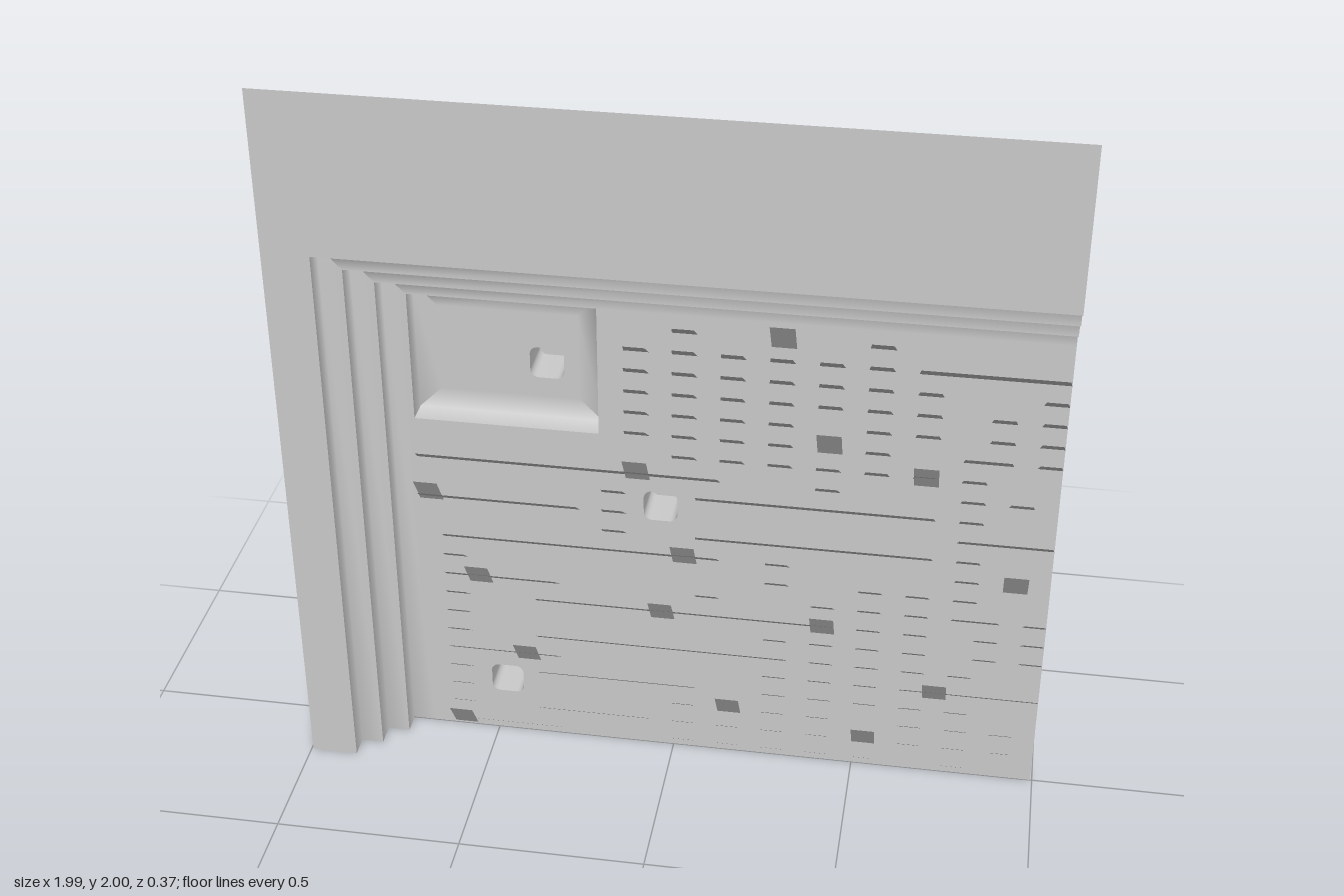
import * as THREE from 'three';
import { mergeGeometries } from 'three/addons/utils/BufferGeometryUtils.js';

const R = 0.995;                                   // right-hand edge
const grey = new THREE.MeshStandardMaterial({ color: 0xcccccc, side: THREE.DoubleSide });
grey.name = 'light grey';

function add(group, name, geometry) {
  const m = new THREE.Mesh(geometry, grey);
  m.name = name;
  group.add(m);
  return m;
}

function surface(points, index) {
  const g = new THREE.BufferGeometry();
  g.setAttribute('position', new THREE.Float32BufferAttribute(points.flat(), 3));
  g.setIndex(index);
  g.computeVertexNormals();
  return g;
}

// Wall running back plus a ledge running inward, softly shaded at the inside corner
function step(p, q, inP, inQ, zFront, zBack) {
  return surface([
    [...p, zFront], [...q, zFront], [...p, zBack], [...q, zBack], [...inP, zBack], [...inQ, zBack],
  ], [0, 2, 1, 1, 2, 3, 2, 4, 3, 3, 4, 5]);
}

function polygon(pts) {
  return new THREE.Shape(pts.map(([x, y]) => new THREE.Vector2(x, y)));
}

// Rounded square outline of the sockets
function socketOutline(cx, cy) {
  const h = 0.045, r = 0.022, k = h - r, s = new THREE.Path();
  s.absarc(cx + k, cy + k, r, 0, Math.PI / 2);
  s.absarc(cx - k, cy + k, r, Math.PI / 2, Math.PI);
  s.absarc(cx - k, cy - k, r, Math.PI, Math.PI * 1.5);
  s.absarc(cx + k, cy - k, r, Math.PI * 1.5, Math.PI * 2);
  s.closePath();
  return s.getPoints(3);
}

function flat(shape, z) {
  return new THREE.ShapeGeometry(shape).translate(0, 0, z);
}

// Slanted plate: foot on the panel, top edge leaning forward
function louvre(x0, x1, y0, y1, depth, taper) {
  return surface([
    [x0, y0, 0], [x1, y0, 0], [x1 - taper, y1, depth], [x0 + taper, y1, depth],
  ], [0, 1, 2, 0, 2, 3]);
}

// Louvre runs per row from the bottom up: "column" or "first-last"
const ROWS = [
  '1-5 11 13 15 17 19 23', '1 5-9 11 13 15 17 21 23 25', '1 11 15 17 21 23 25',
  '1 5-11 15 17 19 21 23', '1-5 15 17 19 21-26', '1 5-15 17 19 21 23',
  '1 15 17 19 21 24 26', '1 5-17 19 21 24 26', '1-5 12 17 19 21 23-24 26',
  '1 15 19 21 23', '1-12 15 23', '8 12-21 23', '0-6 8 23-26', '8 12-21 23',
  '0-12 17 23 25', '11 13 15 17 19 21 23', '9 11 13 15 19 23-24 26',
  '9 11 13 15 19 21 24 26', '9 11 13 15 17 19 21 24 26',
  '9 11 13 15 17 19 21 26', '9 11 13 15 17 19 21-26', '11 19',
];

// Larger tabs, by centre
const TABS = [
  [0.28, 1.355], [0.405, 1.055], [0.655, 0.98], [-0.095, 0.925], [-0.655, 0.805], [0.03, 0.67],
  [0.905, 0.67], [-0.53, 0.545], [-0.03, 0.48], [0.405, 0.48], [-0.405, 0.295], [0.715, 0.295],
  [0.155, 0.178], [0.53, 0.118], [-0.595, 0.05],
];

export function createModel() {
  const model = new THREE.Group();
  model.name = 'panel';

  // Frame face: left strip and top band
  add(model, 'frameFace', flat(polygon([
    [-R, 0], [-0.87, 0], [-0.87, 1.565], [R, 1.565], [R, 2], [-R, 2],
  ]), 0.182));

  // Three stepped mouldings down to the panel
  const xs = [-0.87, -0.81, -0.75, -0.688], ys = [1.565, 1.503, 1.44, 1.38];
  const zs = [0.182, 0.122, 0.06, 0];
  for (let i = 0; i < 3; i++) {
    const outer = [xs[i], ys[i]], inner = [xs[i + 1], ys[i + 1]];
    add(model, 'leftMoulding' + (i + 1),
      step([xs[i], 0], outer, [xs[i + 1], 0], inner, zs[i], zs[i + 1]));
    add(model, 'topMoulding' + (i + 1),
      step(outer, [R, ys[i]], inner, [R, ys[i + 1]], zs[i], zs[i + 1]));
  }

  // Sockets: [x, y, front z]
  const sockets = [[-0.035, 0.8, 0], [-0.47, 0.175, 0], [-0.342, 1.172, -0.064]]
    .map(([x, y, z]) => ({ pts: socketOutline(x, y), z }));

  // Main panel, cut away at the pocket and sockets
  const px0 = xs[3], px1 = -0.197, py0 = 1.01, py1 = ys[3], pz = -0.064, w = 0.062;
  const main = polygon([[px0, 0], [R, 0], [R, py1], [px1, py1], [px1, py0], [px0, py0]]);
  main.holes.push(new THREE.Path(sockets[0].pts), new THREE.Path(sockets[1].pts));
  add(model, 'mainPanel', flat(main, 0));

  // Recessed pocket: four stepped sides and a floor
  const ring = (d) => [
    [px0 + d, py0 + d], [px0 + d, py1 - d], [px1 - d, py1 - d], [px1 - d, py0 + d],
  ];
  const a = ring(0), b = ring(w);
  add(model, 'pocketSides', mergeGeometries(a.map((p, i) => {
    const j = (i + 1) % 4;
    return step(p, a[j], b[i], b[j], 0, pz);
  })));
  const floor = polygon(b);
  floor.holes.push(new THREE.Path(sockets[2].pts));
  add(model, 'pocketFloor', flat(floor, pz));

  // Hollow sockets closed at the back
  sockets.forEach(({ pts, z }, s) => {
    const verts = [], index = [], n = pts.length, back = z - 0.12;
    pts.forEach((p, i) => {
      verts.push([p.x, p.y, z], [p.x, p.y, back]);
      const k = 2 * i, m = 2 * ((i + 1) % n);
      index.push(k, m, k + 1, m, m + 1, k + 1);
    });
    add(model, 'socketWall' + (s + 1), surface(verts, index));
    add(model, 'socketEnd' + (s + 1), flat(new THREE.Shape(pts), back));
  });

  // Rows of louvres
  const pitch = 0.0624, louvres = [];
  ROWS.forEach((row, r) => row.split(' ').forEach((run) => {
    const [c0, c1 = c0] = run.split('-').map(Number);
    const y = 0.035 + pitch * r, x = (c) => -0.658 + pitch * c;
    louvres.push(louvre(Math.max(x(c0) - 0.033, px0), Math.min(x(c1) + 0.033, R),
      y - 0.017, y + 0.017, 0.04, 0.005));
  }));
  add(model, 'louvres', mergeGeometries(louvres));

  // Larger tabs
  add(model, 'tabs', mergeGeometries(TABS.map(([x, y]) =>
    louvre(x - 0.032, x + 0.032, y - 0.045, y + 0.045, 0.06, 0))));

  return model;
}
